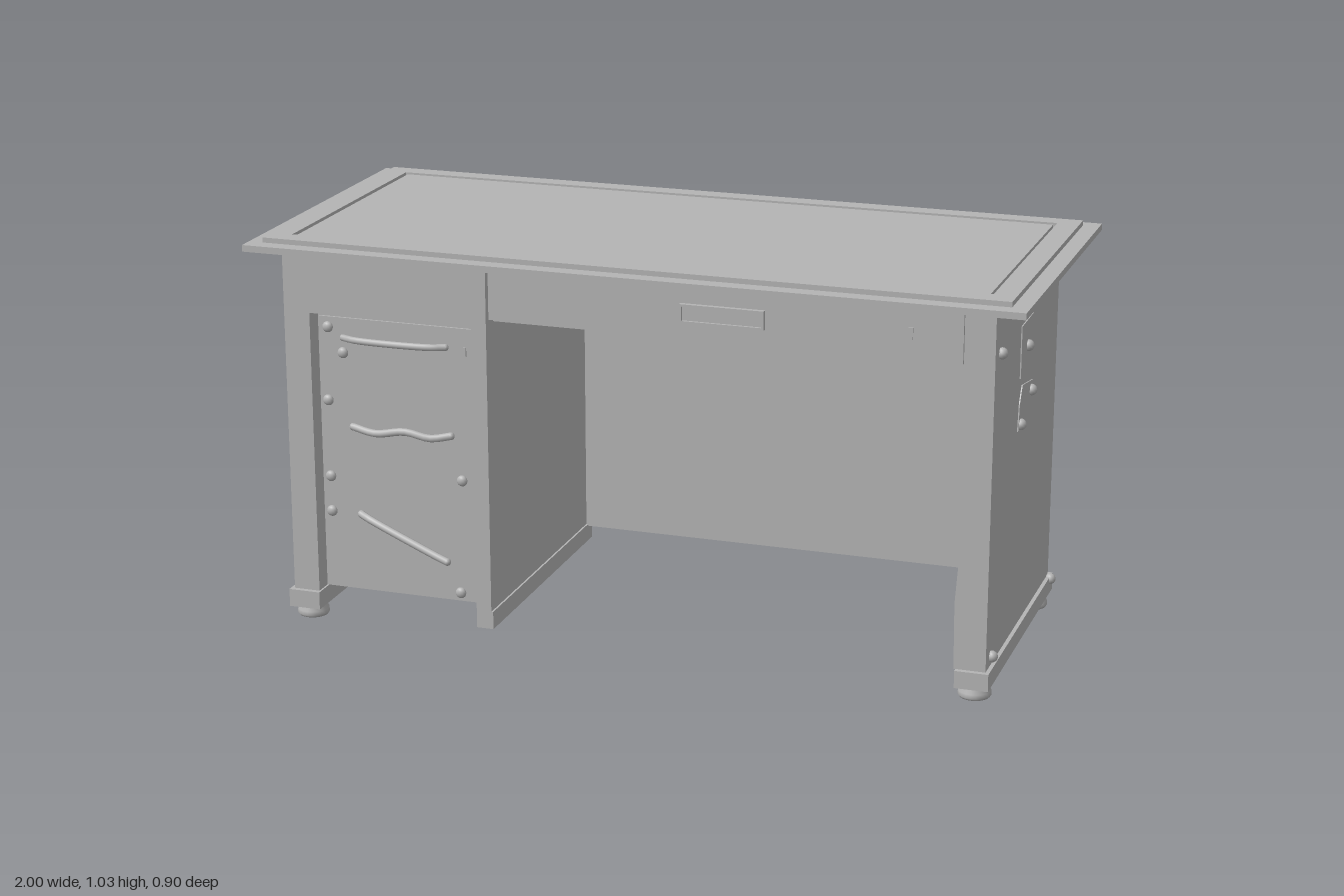
import * as THREE from 'three';

export function createModel() {
  const desk = new THREE.Group();
  desk.name = 'desk';
  const grey = new THREE.MeshStandardMaterial({ color: 0xb4b4b4 });
  grey.name = 'plain grey';

  function add(name, geometry, x = 0, y = 0, z = 0) {
    const mesh = new THREE.Mesh(geometry, grey);
    mesh.name = name;
    mesh.position.set(x, y, z);
    desk.add(mesh);
    return mesh;
  }
  // box given by its limits
  function box(name, x0, x1, y0, y1, z0, z1) {
    return add(name, new THREE.BoxGeometry(x1 - x0, y1 - y0, z1 - z0),
      (x0 + x1) / 2, (y0 + y1) / 2, (z0 + z1) / 2);
  }
  const outline = pts => new THREE.Shape(pts.map(p => new THREE.Vector2(p[0], p[1])));
  const rect = (a, b, c, d) => [[a, c], [b, c], [b, d], [a, d]];
  const extrude = (shape, depth) =>
    new THREE.ExtrudeGeometry(shape, { depth, bevelEnabled: false, curveSegments: 10 });
  function framed(outer, inner, depth) {
    const shape = outline(outer);
    shape.holes.push(outline(inner));
    return extrude(shape, depth);
  }

  // top: overhanging slab, raised border, inset writing surface
  box('topSlab', -1, 1, 0.995, 1.012, -0.45, 0.45);
  add('topBorder', framed(rect(-0.962, 0.957, -0.41, 0.417), rect(-0.905, 0.9, -0.357, 0.368), 0.013),
    0, 1.012, 0).rotation.x = -Math.PI / 2;
  box('writingSurface', -0.896, 0.891, 1.012, 1.022, -0.359, 0.348);
  for (let i = 0; i < 9; i++) {
    const mark = add('cupRing', new THREE.RingGeometry(0.039, 0.043, 4, 1, i * Math.PI * 2 / 9, 0.45),
      0.805, 1.0265, -0.3);
    mark.rotation.x = -Math.PI / 2;
  }

  // drawer pedestal
  box('pedestalBody', -0.915, -0.375, 0.08, 0.995, -0.33, 0.33);
  add('pedestalFront', extrude(outline([
    [-0.925, 0.08], [-0.855, 0.08], [-0.855, 0.83], [-0.415, 0.83],
    [-0.415, 0.08], [-0.375, 0.08], [-0.375, 0.995], [-0.925, 0.995]]), 0.05), 0, 0, 0.33);
  box('pedestalDrawers', -0.85, -0.42, 0.083, 0.812, 0.3, 0.336);
  // outer side with a recessed field
  add('pedestalSide', framed(rect(-0.33, 0.33, 0.08, 0.995), rect(-0.3, 0.322, 0.25, 0.87), 0.01),
    -0.915, 0, 0).rotation.y = -Math.PI / 2;
  box('sideField', -0.919, -0.91, 0.254, 0.866, -0.296, 0.318);

  // drawer handles, bent and hanging loose
  function handle(points, radius) {
    const curve = new THREE.CatmullRomCurve3(points.map(p => new THREE.Vector3(...p)));
    add('drawerHandle', new THREE.TubeGeometry(curve, 16, radius, 8));
    for (const p of [points[0], points[points.length - 1]])
      add('handleEnd', new THREE.SphereGeometry(radius, 8, 6), ...p);
  }
  handle([[-0.78, 0.762, 0.345], [-0.74, 0.762, 0.36], [-0.54, 0.762, 0.36], [-0.5, 0.762, 0.345]], 0.009);
  handle([[-0.76, 0.527, 0.345], [-0.69, 0.52, 0.36], [-0.61, 0.533, 0.362], [-0.54, 0.522, 0.36], [-0.49, 0.529, 0.345]], 0.01);
  handle([[-0.745, 0.292, 0.345], [-0.71, 0.283, 0.36], [-0.52, 0.215, 0.385], [-0.49, 0.205, 0.388]], 0.01);

  // right side panel with a worn inner edge
  add('rightPanel', extrude(outline([
    [0.915, 0.08], [0.915, 0.995], [0.84, 0.995], [0.84, 0.52], [0.847, 0.45],
    [0.84, 0.35], [0.833, 0.25], [0.835, 0.08]]), 0.71), 0, 0, -0.33);
  box('backPost', 0.85, 0.913, 0.08, 0.995, -0.352, -0.332);
  box('backPanel', -0.924, 0.845, 0.075, 0.995, -0.348, -0.328);

  // wide drawer above the knee space
  box('kneeDrawerBody', -0.375, 0.84, 0.85, 0.995, -0.32, 0.362);
  box('kneeDrawerFront', -0.36, 0.835, 0.85, 0.985, 0.35, 0.37);
  add('kneeDrawerPull', framed(rect(0.13, 0.345, 0.892, 0.94), rect(0.136, 0.339, 0.898, 0.934), 0.012), 0, 0, 0.37);
  box('pullInset', 0.136, 0.339, 0.898, 0.934, 0.365, 0.375);
  // keyholes
  box('kneeDrawerKeyhole', 0.7, 0.712, 0.9, 0.93, 0.365, 0.374);
  box('pedestalKeyhole', -0.455, -0.447, 0.74, 0.765, 0.33, 0.34);

  // base rails and turned feet
  box('leftRail', -0.935, -0.85, 0.033, 0.08, -0.357, 0.393);
  box('innerRail', -0.415, -0.37, 0.033, 0.08, -0.357, 0.38);
  box('rightRail', 0.84, 0.925, 0.035, 0.08, -0.357, 0.393);
  const footProfile = [[0, 0], [0.038, 0], [0.042, 0.006], [0.041, 0.016], [0.036, 0.026],
    [0.034, 0.04], [0, 0.04]].map(p => new THREE.Vector2(p[0], p[1]));
  for (const x of [-0.893, 0.88])
    for (const z of [-0.31, 0.338])
      add('foot', new THREE.LatheGeometry(footProfile, 20), x, 0, z);

  // domed nails on drawers and side
  const dome = new THREE.SphereGeometry(0.0145, 12, 8);
  const nail = (name, x, y, z, sx, sz) => add(name, dome, x, y, z).scale.set(sx, 1, sz);
  for (const [x, y] of [[-0.825, 0.785], [-0.785, 0.72], [-0.83, 0.59], [-0.83, 0.385],
    [-0.83, 0.29], [-0.465, 0.41], [-0.475, 0.105]])
    nail('drawerNail', x, y, 0.338, 1, 0.7);
  for (const [z, y] of [[0.33, 0.875], [0.333, 0.105], [-0.328, 0.95], [-0.328, 0.073],
    [0.029, 0.812], [0.09, 0.626], [-0.025, 0.682]])
    nail('sideNail', y < 0.08 ? 0.925 : 0.92, y, z, 1, 1);

  // pinned notes
  const notes = [
    [[-0.1, 0.745], [0.035, 0.745], [0.031, 0.8], [0.033, 0.88], [-0.1, 0.878]],
    [[-0.11, 0.612], [0.017, 0.592], [0.03, 0.66], [0.05, 0.702], [-0.075, 0.722], [-0.1, 0.68]]];
  for (const pts of notes)
    add('pinnedNote', extrude(outline(pts), 0.004), 0.914, 0, 0).rotation.y = Math.PI / 2;

  return desk;
}
